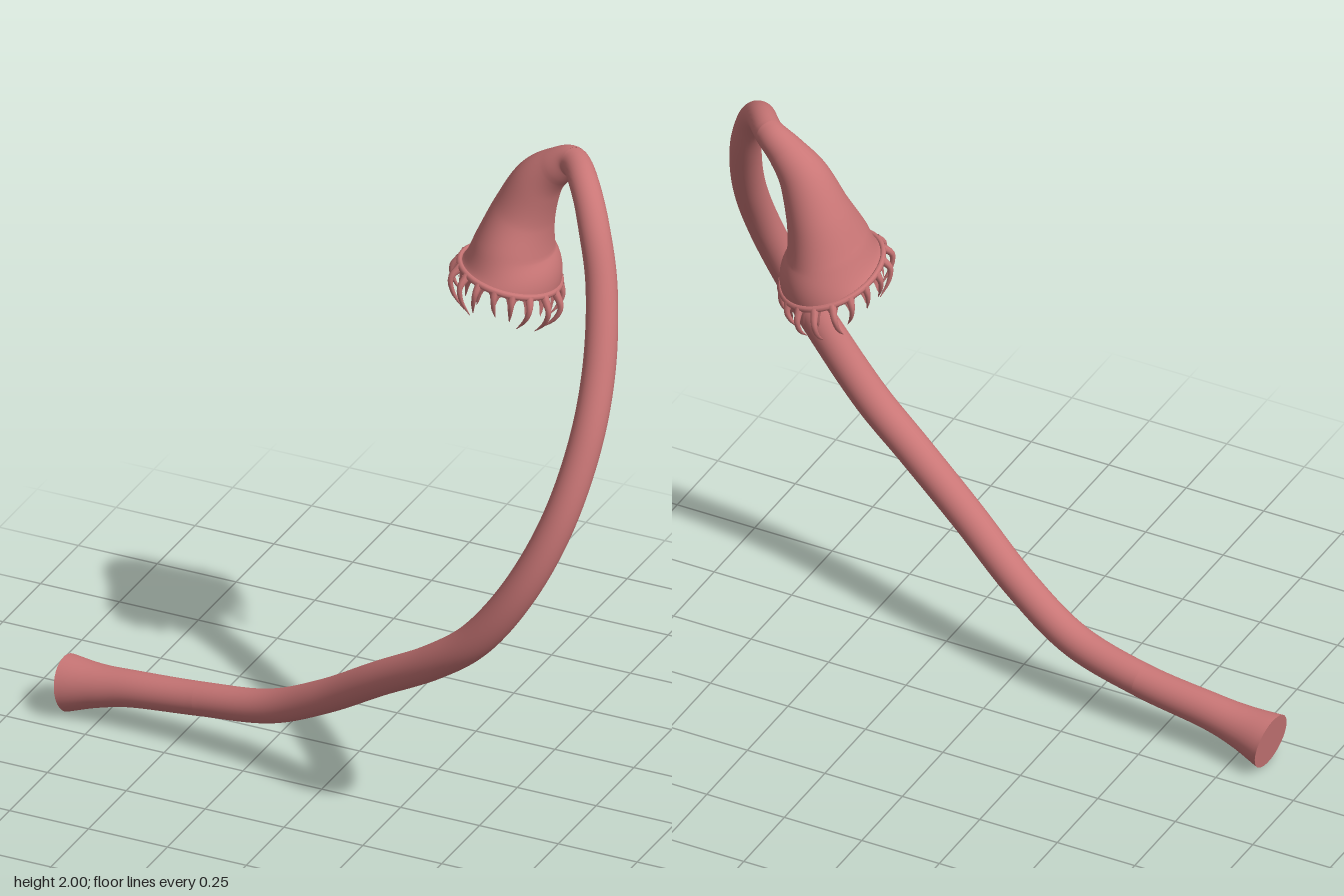
import * as THREE from 'three';

const V = (x, y, z) => new THREE.Vector3(x, y, z);
const material = new THREE.MeshStandardMaterial({ color: 0xc97676, side: THREE.DoubleSide });

// Centre line and cross-section: x, y, z, half width, half depth
const SECTIONS = [
  [-0.86, 0.085, 0.128, 0.084, 0.084],
  [-0.76, 0.102, 0.135, 0.064, 0.064],
  [-0.65, 0.12, 0.14, 0.054, 0.054],
  [-0.43, 0.146, 0.152, 0.05, 0.05],
  [-0.2, 0.192, 0.182, 0.05, 0.05],
  [0, 0.295, 0.228, 0.05, 0.05],
  [0.2, 0.43, 0.287, 0.051, 0.051],
  [0.4, 0.56, 0.342, 0.052, 0.052],
  [0.55, 0.685, 0.36, 0.053, 0.053],
  [0.68, 0.87, 0.345, 0.052, 0.052],
  [0.77, 1.08, 0.29, 0.05, 0.05],
  [0.812, 1.3, 0.2, 0.049, 0.049],
  [0.808, 1.5, 0.1, 0.048, 0.048],
  [0.77, 1.7, 0.005, 0.046, 0.046],
  [0.715, 1.85, -0.06, 0.045, 0.045],
  [0.65, 1.935, -0.135, 0.043, 0.043],
  [0.575, 1.953, -0.22, 0.045, 0.043],
  [0.51, 1.915, -0.237, 0.056, 0.056],
  [0.45, 1.85, -0.243, 0.073, 0.077],
  [0.405, 1.745, -0.245, 0.09, 0.106],
  [0.38, 1.64, -0.235, 0.113, 0.145],
  [0.37, 1.547, -0.226, 0.147, 0.174],
  [0.335, 1.45, -0.2, 0.147, 0.174], // only steers the mouth direction
];
const BASE_END = 3, STEM_END = 16, MOUTH = 21, TENDRILS = 18;

// Surface from closed rings; point(i, j) gives the ring point
function rings(rows, sides, point) {
  const pos = [], idx = [];
  for (let i = 0; i <= rows; i++)
    for (let j = 0; j < sides; j++) {
      pos.push(...point(i / rows, (j / sides) * Math.PI * 2).toArray());
      if (i === rows) continue;
      const a = i * sides + j, b = i * sides + ((j + 1) % sides);
      idx.push(a, b, a + sides, b, b + sides, a + sides);
    }
  const g = new THREE.BufferGeometry();
  g.setAttribute('position', new THREE.Float32BufferAttribute(pos, 3));
  g.setIndex(idx);
  g.computeVertexNormals();
  return g;
}

// Elliptical sweep along a list of sections
function makeSweep(sections) {
  const last = sections.length - 1;
  const path = new THREE.CatmullRomCurve3(sections.map((s) => V(s[0], s[1], s[2])), false, 'catmullrom');
  const size = new THREE.CatmullRomCurve3(sections.map((s) => V(s[3], s[4], 0)), false, 'catmullrom');
  const frame = (k) => {
    const centre = path.getPoint(k / last), dir = path.getTangent(k / last);
    const v = V(0, 0, 1).addScaledVector(dir, -dir.z).normalize();
    return { centre, dir, u: v.clone().cross(dir), v, r: size.getPoint(k / last) };
  };
  const at = (k, angle, scale = 1) => {
    const f = frame(k);
    return f.centre.addScaledVector(f.u, f.r.x * scale * Math.cos(angle))
      .addScaledVector(f.v, f.r.y * scale * Math.sin(angle));
  };
  const surface = (k0, k1, rows, sides) =>
    rings(rows, sides, (t, angle) => at(k0 + (k1 - k0) * t, angle));
  return { frame, at, surface };
}

export function createModel() {
  const group = new THREE.Group();
  const add = (name, geometry, parent = group) => {
    const mesh = new THREE.Mesh(geometry, material);
    mesh.name = name;
    parent.add(mesh);
    return mesh;
  };
  const body = makeSweep(SECTIONS);

  // Flared foot with its end cap, long stem, drooping bell
  add('flaredFoot', body.surface(0, BASE_END, 24, 32));
  const foot = body.frame(0);
  const cap = add('footCap', new THREE.CircleGeometry(foot.r.x, 32));
  cap.position.copy(foot.centre);
  cap.quaternion.setFromUnitVectors(V(0, 0, 1), foot.dir.clone().negate());
  add('stem', body.surface(BASE_END, STEM_END, 120, 32));
  add('bell', body.surface(STEM_END, MOUTH, 50, 56));

  // Rolled lip around the mouth
  const mouth = body.frame(MOUTH);
  add('mouthLip', rings(72, 8, (t, a) => body.at(MOUTH, -t * Math.PI * 2, 1 + 0.055 * Math.cos(a))
    .addScaledVector(mouth.dir, 0.01 * Math.sin(a))));

  // Scalloped web below the lip, deepest where a tendril hangs
  const fringe = new THREE.Group();
  fringe.name = 'fringe';
  group.add(fringe);
  const hang = mouth.dir.clone().lerp(V(0, -1, 0), 0.5).normalize();
  add('scallopedWeb', rings(6, TENDRILS * 10, (t, a) => {
    const depth = 0.014 + 0.055 * Math.abs(Math.cos((a * TENDRILS) / 2)) ** 5;
    return body.at(MOUTH, a, 1 - 0.03 * t).addScaledVector(hang, depth * t);
  }), fringe);

  // Thin tapering tendrils of uneven length and curl
  for (let k = 0; k < TENDRILS; k++) {
    const a = (k / TENDRILS) * Math.PI * 2;
    const vary = Math.sin(k * 7.3 + 1) * 0.5 + 0.5, curl = Math.sin(k * 4.1);
    const length = 0.085 + 0.05 * vary;
    const root = body.at(MOUTH, a, 0.985);
    const out = body.at(MOUTH, a).sub(mouth.centre).normalize();
    const side = hang.clone().cross(out);
    const points = [0, 0.3, 0.65, 1].map((t, i) => {
      const p = root.clone().addScaledVector(hang, length * t)
        .addScaledVector(out, 0.022 * Math.sin(t * 4) * (0.4 + vary) - 0.004 * t)
        .addScaledVector(side, 0.016 * curl * t * t);
      const r = [0.013, 0.009, 0.006, 0.001][i];
      return [p.x, p.y, p.z, r, r];
    });
    add('tendril', makeSweep(points).surface(0, 3, 10, 8), fringe);
  }
  return group;
}
